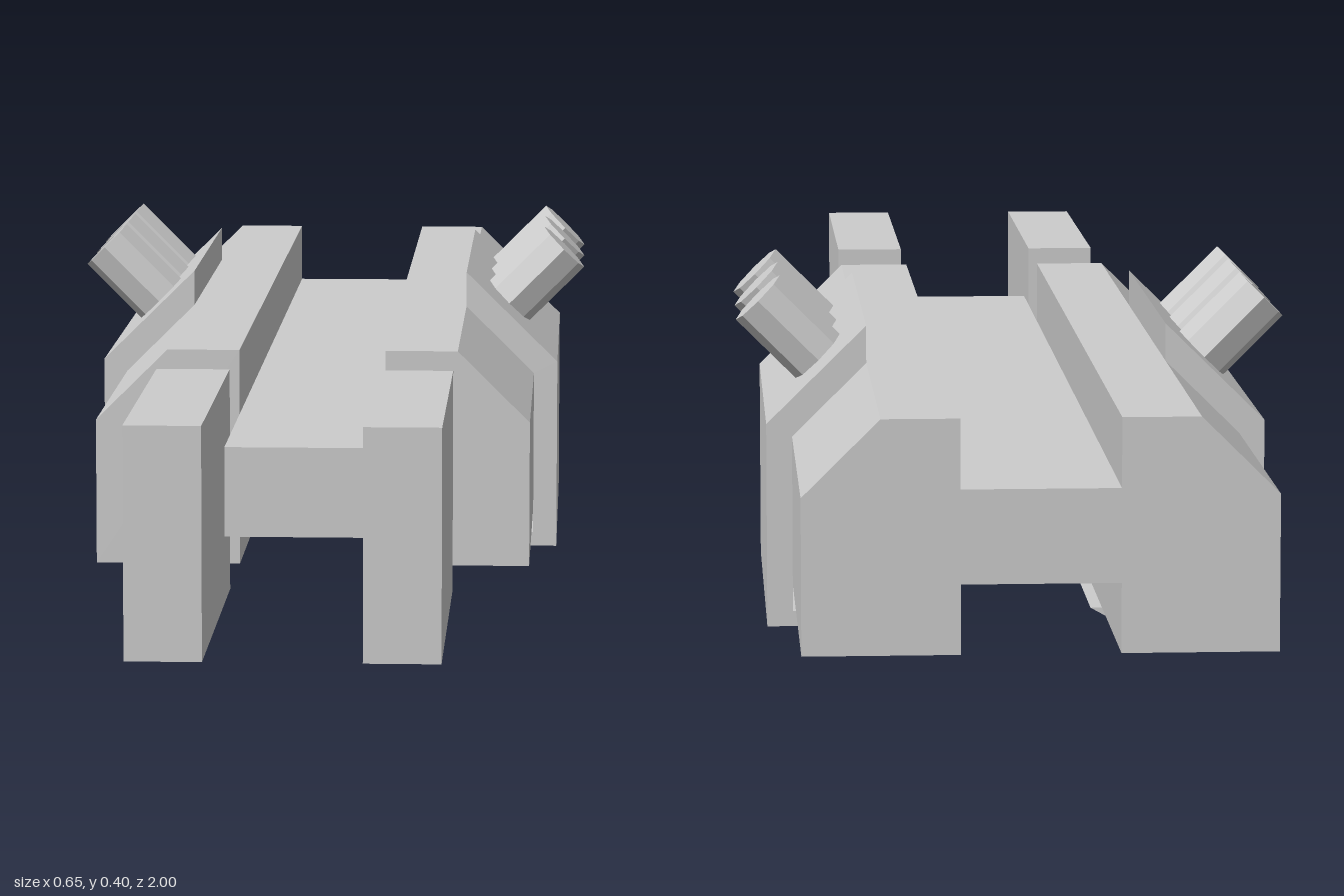
import * as THREE from 'three';

const material = new THREE.MeshStandardMaterial({ color: 0xcccccc, flatShading: true });

// Extrudes an x/y outline from z0 to z1, mirrored in x when side is -1
function prism(name, points, z0, z1, side = 1) {
  const shape = new THREE.Shape(points.map(([x, y]) => new THREE.Vector2(x * side, y)));
  const geometry = new THREE.ExtrudeGeometry(shape, { depth: z1 - z0, bevelEnabled: false });
  geometry.translate(0, 0, z0);
  const mesh = new THREE.Mesh(geometry, material);
  mesh.name = name;
  return mesh;
}

const rect = (x0, y0, x1, y1) => [[x0, y0], [x1, y0], [x1, y1], [x0, y1]];

// Body rail with a chamfered outer top edge
const railOutline = [[0.088, 0.05], [0.262, 0.05], [0.262, 0.225], [0.175, 0.311], [0.088, 0.311]];

// Bracket that wraps over the chamfer, down the side and under the rail
const bracketOutline = [
  [0.175, 0.355], [0.175, 0.311], [0.262, 0.225], [0.262, 0.018],
  [0.088, 0.018], [0.117, 0.002], [0.117, 0], [0.292, 0], [0.292, 0.24],
];

export function createModel() {
  const model = new THREE.Group();
  model.name = 'model';

  // Long central bar joining both halves
  model.add(prism('centerBar', rect(-0.088, 0.128, 0.088, 0.233), -1, 0.64));

  for (const side of [1, -1]) {
    const label = side > 0 ? 'left' : 'right';
    model.add(prism(label + 'Rail', railOutline, -1, 0.375, side));
    model.add(prism(label + 'FrontProng', rect(0.088, 0.05, 0.174, 0.311), 0.547, 1, side));
    model.add(prism(label + 'Bracket', bracketOutline, -0.565, -0.063, side));

    // Row of octagonal pegs standing square on the bracket slope
    for (const z of [-0.19, -0.32, -0.45]) {
      const peg = new THREE.Mesh(new THREE.CylinderGeometry(0.037, 0.037, 0.1, 8), material);
      peg.name = label + 'Peg';
      peg.position.set(side * 0.264, 0.339, z);
      peg.rotation.z = -side * Math.PI / 4;
      model.add(peg);
    }
  }
  return model;
}
